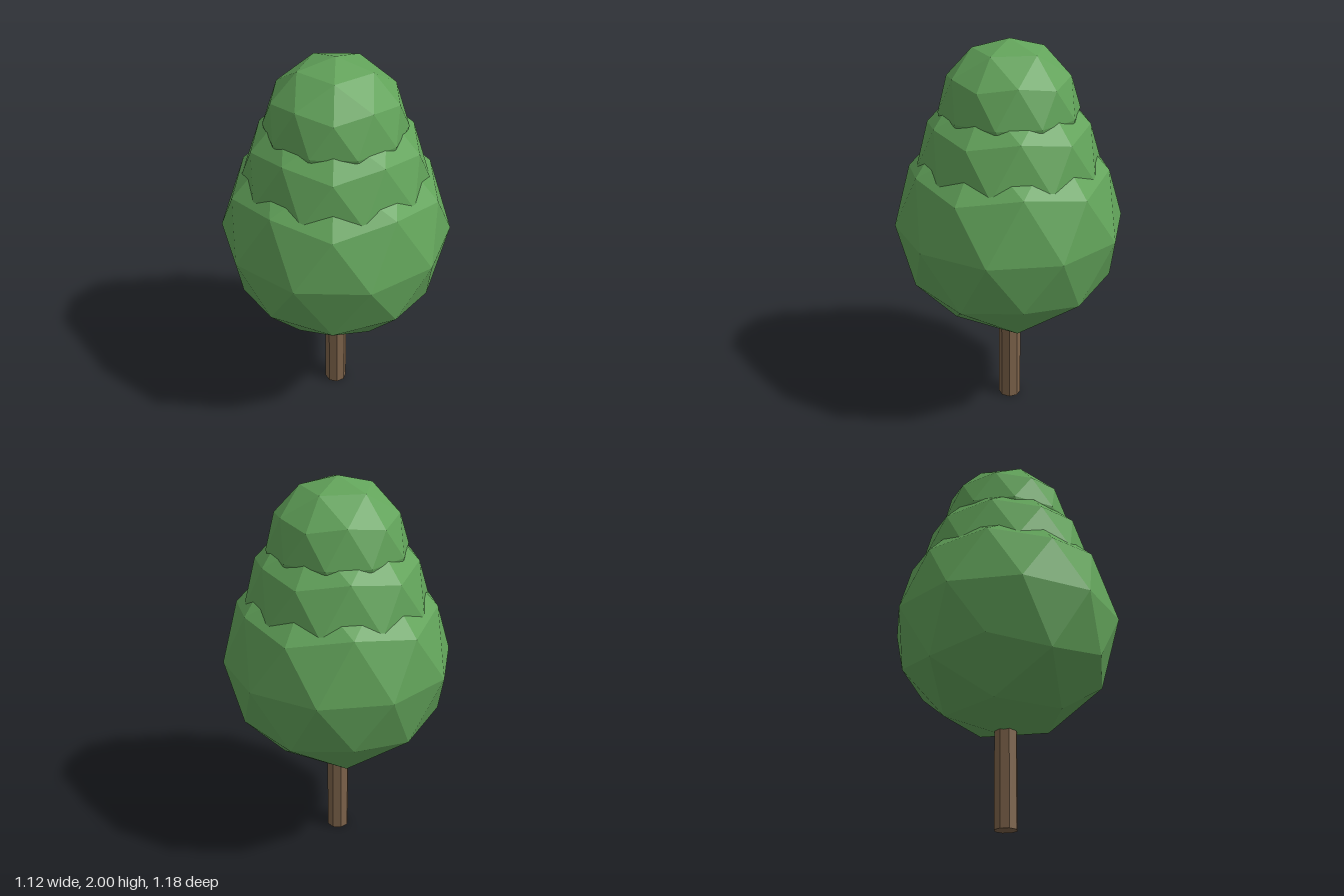
import * as THREE from 'three';

const UNIT = 1 / 1.7; // radius of the largest foliage ball

export function createModel() {
  const tree = new THREE.Group();
  tree.name = 'tree';
  const leafMaterial = new THREE.MeshStandardMaterial({ color: 0x62a35a, flatShading: true });
  const barkMaterial = new THREE.MeshStandardMaterial({ color: 0x7d634a, flatShading: true });

  // Trunk: slim octagonal post reaching into the foliage
  const trunkHeight = UNIT;
  const trunk = new THREE.Mesh(
    new THREE.CylinderGeometry(0.1 * UNIT, 0.1 * UNIT, trunkHeight, 8),
    barkMaterial
  );
  trunk.name = 'trunk';
  trunk.position.y = trunkHeight / 2;
  tree.add(trunk);

  // Faceted ball, turned so one corner points straight up and an upper-ring corner faces +x
  const ball = new THREE.IcosahedronGeometry(UNIT, 1);
  ball.rotateX(-Math.atan((1 + Math.sqrt(5)) / 2));
  ball.rotateY(Math.PI / 2);

  // Foliage: three overlapping balls shrinking upwards
  ['lowerFoliage', 'middleFoliage', 'upperFoliage'].forEach((name, i) => {
    const foliage = new THREE.Mesh(ball, leafMaterial);
    foliage.name = name;
    foliage.scale.setScalar(1 - 0.2 * i);
    foliage.position.y = (1.8 + 0.5 * i) * UNIT;
    tree.add(foliage);
  });

  return tree;
}
